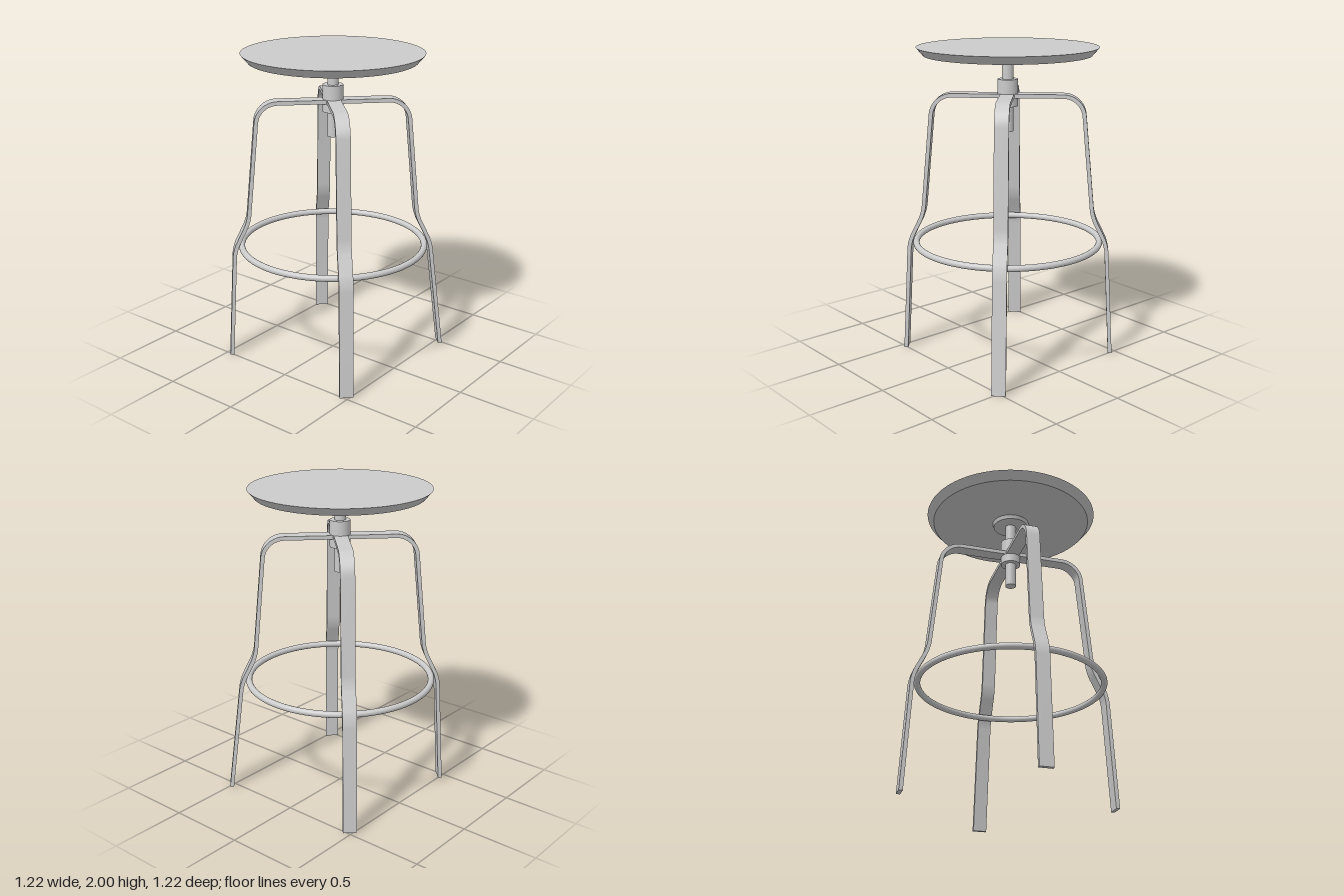
import * as THREE from 'three';
import { toCreasedNormals } from 'three/addons/utils/BufferGeometryUtils.js';

const grey = new THREE.MeshStandardMaterial({ color: 0xcccccc });

function add(group, name, geometry, y = 0) {
  const mesh = new THREE.Mesh(geometry, grey);
  mesh.name = name;
  mesh.position.y = y;
  group.add(mesh);
  return mesh;
}

function cylinder(top, bottom, y0, y1) {
  return new THREE.CylinderGeometry(top, bottom, y1 - y0, 64).translate(0, (y0 + y1) / 2, 0);
}

// Polyline with each inner corner rounded; bend is the tangent length at that corner
function roundedPath(corners, bends, steps) {
  const points = [corners[0]];
  for (let i = 1; i < corners.length - 1; i++) {
    const c = corners[i];
    const toward = (q, d) => c.clone().add(q.clone().sub(c).setLength(d));
    const d = bends[i - 1];
    const curve = new THREE.CubicBezierCurve(
      toward(corners[i - 1], d), toward(corners[i - 1], d * 0.45),
      toward(corners[i + 1], d * 0.45), toward(corners[i + 1], d));
    points.push(...curve.getPoints(steps));
  }
  points.push(corners[corners.length - 1]);
  return points;
}

// Bent flat strip running from the hub out and down to the floor
function legGeometry(footRadius) {
  const thickness = 0.025, width = 0.087;
  const corners = [[0, 1.697], [0.47, 1.697], [0.543, 0.93], [0.636, 0.74], [footRadius, 0]]
    .map(([r, y]) => new THREE.Vector2(r, y));
  const path = roundedPath(corners, [0.12, 0.05, 0.05], 10);
  const side = (sign) => path.map((p, i) => {
    const a = path[Math.max(i - 1, 0)], b = path[Math.min(i + 1, path.length - 1)];
    const t = b.clone().sub(a).normalize();
    return new THREE.Vector2(p.x - t.y * sign * thickness / 2, Math.max(0, p.y + t.x * sign * thickness / 2));
  });
  const shape = new THREE.Shape([...side(1), ...side(-1).reverse()]);
  const geometry = new THREE.ExtrudeGeometry(shape, { depth: width, bevelEnabled: false });
  return toCreasedNormals(geometry.translate(0, 0, -width / 2), 0.5);
}

export function createModel() {
  const stool = new THREE.Group();
  stool.name = 'stool';

  // Seat disc with a rim that slopes inward below
  add(stool, 'seat', cylinder(0.567, 0.524, 1.95, 2));

  // Mounting plate and height-adjusting spindle through the hub
  add(stool, 'seatPlate', cylinder(0.122, 0.115, 1.925, 1.95));
  add(stool, 'spindle', cylinder(0.035, 0.035, 1.47, 1.93));
  add(stool, 'hub', cylinder(0.064, 0.064, 1.63, 1.8));

  // Four diagonal legs; the back left one splays out further
  const legs = new THREE.Group();
  legs.name = 'legs';
  for (let i = 0; i < 4; i++) {
    const leg = add(legs, 'leg', legGeometry(i === 0 ? 0.727 : 0.677));
    leg.rotation.y = Math.PI / 4 + i * Math.PI / 2;
  }
  stool.add(legs);

  // Round foot rest inside the legs
  add(stool, 'footRing', new THREE.TorusGeometry(0.59, 0.02, 20, 96).rotateX(Math.PI / 2), 0.755);

  return stool;
}
